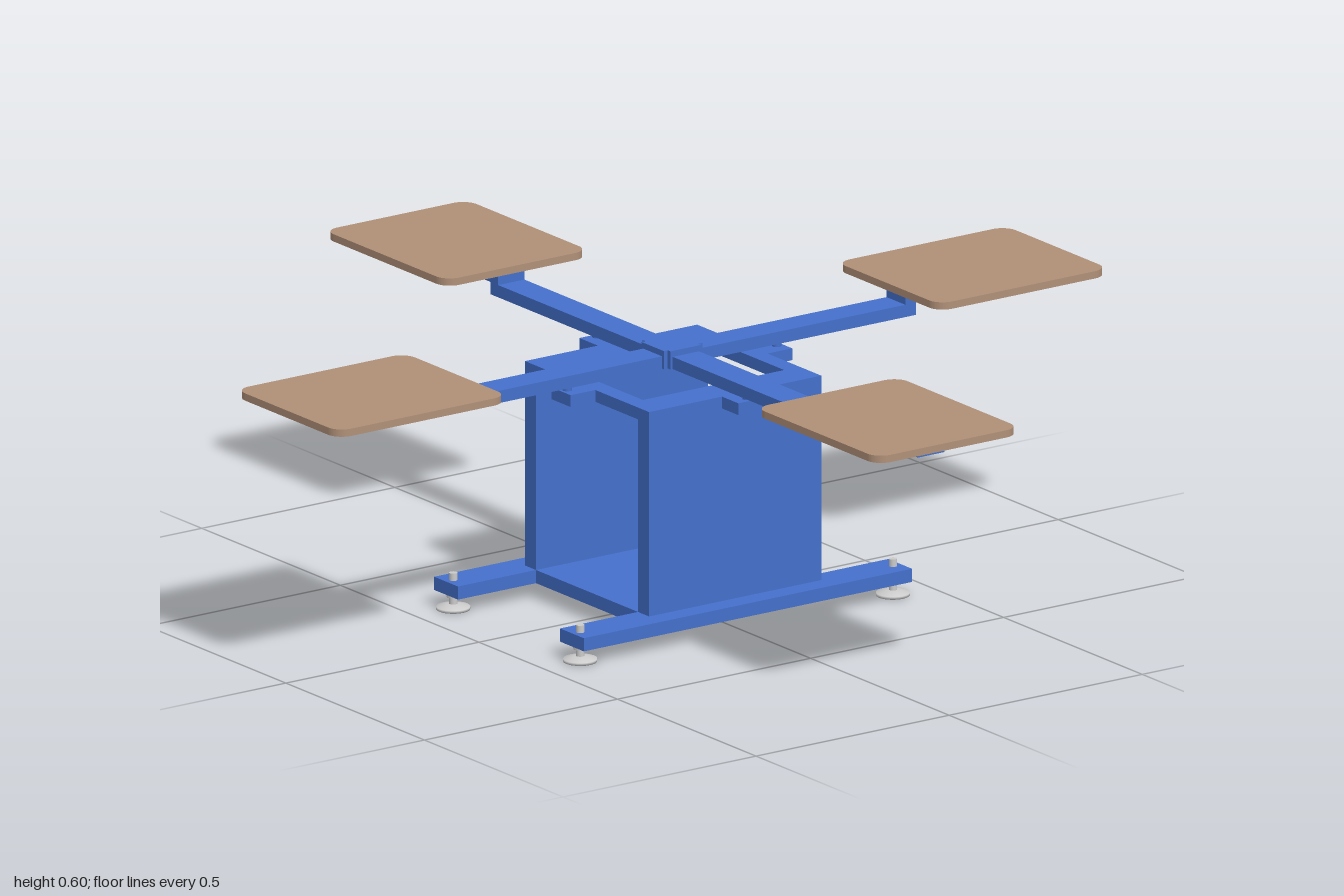
import * as THREE from 'three';

const blue = new THREE.MeshStandardMaterial({ color: 0x4470cc });
const tan = new THREE.MeshStandardMaterial({ color: 0xb09078 });
const grey = new THREE.MeshStandardMaterial({ color: 0xcccccc });

// Box given by its lower and upper corners
function box(name, [x0, y0, z0], [x1, y1, z1], material = blue) {
  const mesh = new THREE.Mesh(new THREE.BoxGeometry(x1 - x0, y1 - y0, z1 - z0), material);
  mesh.position.set((x0 + x1) / 2, (y0 + y1) / 2, (z0 + z1) / 2);
  mesh.name = name;
  return mesh;
}

function cylinder(name, radius, y0, y1, x, z, material, sides = 24) {
  const mesh = new THREE.Mesh(new THREE.CylinderGeometry(radius, radius, y1 - y0, sides), material);
  mesh.position.set(x, (y0 + y1) / 2, z);
  mesh.name = name;
  return mesh;
}

// Flat board with rounded corners, lying in the xz plane
function roundedBoard(w, d, thickness, r) {
  const s = new THREE.Shape();
  const a = w / 2 - r, b = d / 2 - r;
  s.absarc(a, b, r, 0, Math.PI / 2);
  s.absarc(-a, b, r, Math.PI / 2, Math.PI);
  s.absarc(-a, -b, r, Math.PI, Math.PI * 1.5);
  s.absarc(a, -b, r, Math.PI * 1.5, Math.PI * 2);
  s.closePath();
  const g = new THREE.ExtrudeGeometry(s, { depth: thickness, bevelEnabled: false, curveSegments: 8 });
  return g.rotateX(-Math.PI / 2);
}

// Levelling foot: flared pad, threaded stem and lock nut
function levellingFoot(x, z) {
  const foot = new THREE.Group();
  foot.name = 'levellingFoot';
  const profile = [[0, 0], [0.036, 0], [0.036, 0.006], [0.014, 0.012], [0, 0.012]]
    .map(([r, y]) => new THREE.Vector2(r, y));
  const pad = new THREE.Mesh(new THREE.LatheGeometry(profile, 24), grey);
  pad.name = 'footPad';
  pad.position.set(x, 0, z);
  foot.add(pad,
    cylinder('footStem', 0.009, 0.01, 0.08, x, z, grey, 16),
    cylinder('footNut', 0.016, 0.027, 0.035, x, z, grey, 6));
  return foot;
}

// One spoke: long bar, raised end bar, board, and the stop bracket below
function arm(index) {
  const g = new THREE.Group();
  g.name = 'arm' + (index + 1);
  g.add(box('armBar', [0.035, 0.53, -0.034], [0.608, 0.557, 0.034]),
    box('boardSupport', [0.58, 0.557, -0.034], [0.935, 0.584, 0.034]),
    box('stopBracket', [0.22, 0.488, -0.034], [0.287, 0.514, 0.034]),
    cylinder('stopPin', 0.01, 0.488, 0.53, 0.271, 0, blue, 16));
  const board = new THREE.Mesh(roundedBoard(0.44, 0.37, 0.016, 0.035), tan);
  board.name = 'printBoard';
  board.position.set(0.778, 0.584, 0);
  g.add(board);
  g.rotation.y = index * Math.PI / 2;
  return g;
}

export function createModel() {
  const model = new THREE.Group();
  model.name = 'rotaryWorkStation';

  // Pedestal, a little off the rotor's centre line
  const base = new THREE.Group();
  base.name = 'pedestal';
  base.position.x = 0.004;
  for (const s of [-1, 1]) {
    const cx = s * 0.227;
    base.add(box('baseRail', [cx - 0.043, 0.035, -0.425], [cx + 0.043, 0.064, 0.425]));
    const px = s * 0.204;
    base.add(box('sidePanel', [px - 0.02, 0.064, -0.223], [px + 0.02, 0.488, 0.223]));
    for (const z of [-0.405, 0.405]) base.add(levellingFoot(cx + s * 0.002, z));
  }
  base.add(box('floorPlate', [-0.184, 0.035, -0.223], [0.184, 0.064, 0.223]));

  // Open frame on top of the panels
  for (const s of [-1, 1]) {
    const cx = s * 0.185;
    base.add(box('frameSideBar', [cx - 0.039, 0.488, -0.223], [cx + 0.039, 0.514, 0.223]));
    const cz = s * 0.203;
    base.add(box('frameCrossBar', [-0.146, 0.488, cz - 0.02], [0.146, 0.514, cz + 0.02]));
  }
  model.add(base);

  // Hub and four spokes
  const rotor = new THREE.Group();
  rotor.name = 'rotor';
  rotor.add(box('hubCore', [-0.035, 0.53, -0.035], [0.035, 0.557, 0.035]),
    box('hubStrapX', [-0.05, 0.555, -0.034], [0.05, 0.57, 0.034]),
    box('hubStrapZ', [-0.034, 0.555, -0.05], [0.034, 0.57, 0.05]));
  for (const s of [-1, 1]) {
    rotor.add(box('hubCheek', [s * 0.042 - 0.008, 0.53, -0.04], [s * 0.042 + 0.008, 0.57, 0.04]),
      box('hubCheek', [-0.04, 0.53, s * 0.042 - 0.008], [0.04, 0.57, s * 0.042 + 0.008]));
  }
  for (let i = 0; i < 4; i++) rotor.add(arm(i));
  model.add(rotor);
  return model;
}
